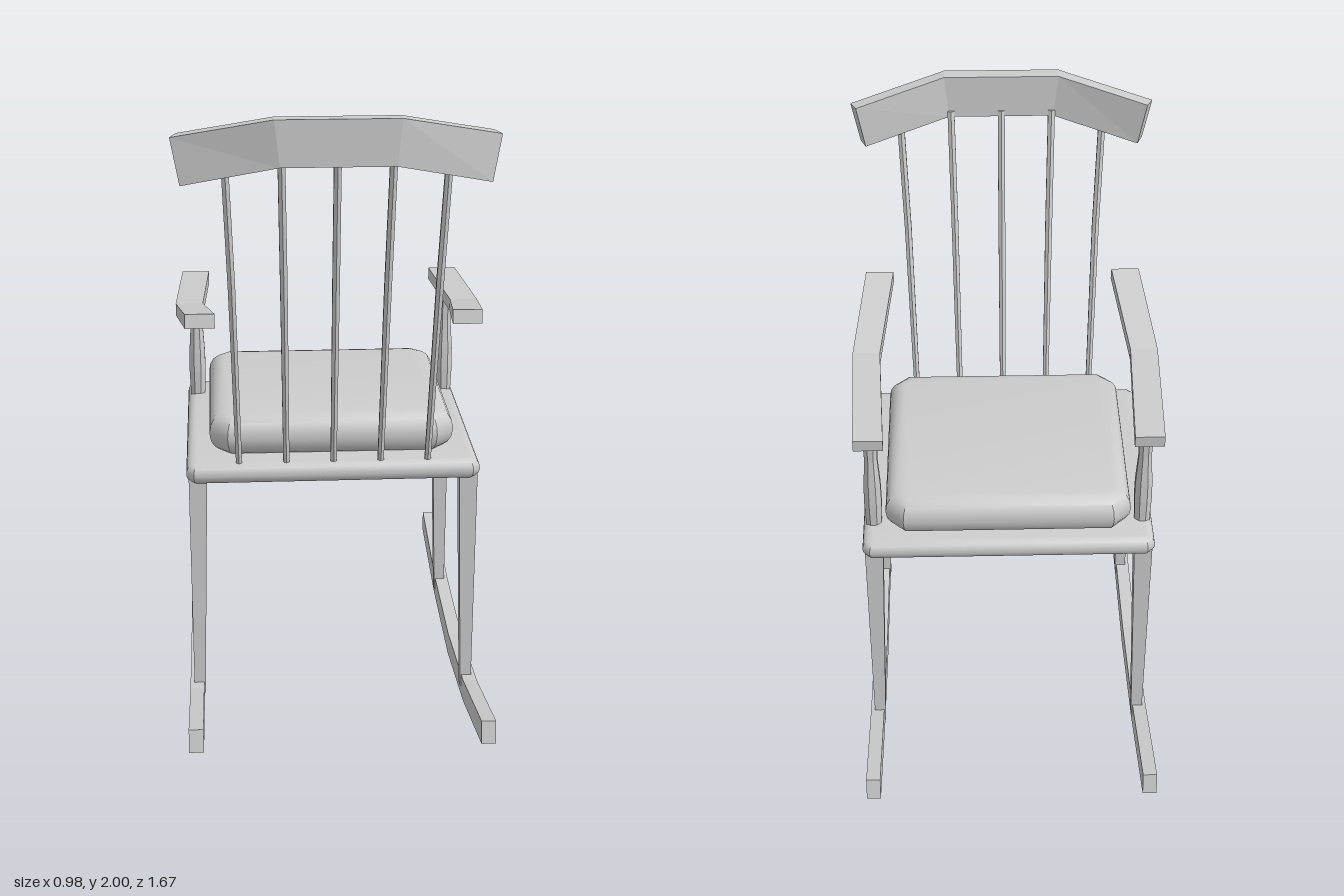
import * as THREE from 'three';
import { toCreasedNormals } from 'three/addons/utils/BufferGeometryUtils.js';

const wood = new THREE.MeshStandardMaterial({ color: 0xcccccc });
wood.name = 'plain grey';

// Flat-faced solid through a row of convex sections, each a ring of [x, y, z] points
function loft(sections) {
  const n = sections[0].length, tris = [];
  const rings = sections.map(s => s.map(p => new THREE.Vector3(...p)));
  for (let i = 0; i < rings.length - 1; i++) {
    for (let j = 0; j < n; j++) {
      const k = (j + 1) % n;
      const [a, b, c, d] = [rings[i][j], rings[i][k], rings[i + 1][k], rings[i + 1][j]];
      tris.push([a, b, c], [a, c, d]);
    }
  }
  const last = rings[rings.length - 1];
  for (let j = 1; j < n - 1; j++) {
    tris.push([rings[0][0], rings[0][j + 1], rings[0][j]], [last[0], last[j], last[j + 1]]);
  }
  // Turn the faces outward whichever way the rings run
  const volume = tris.reduce((v, [a, b, c]) => v + a.dot(b.clone().cross(c)), 0);
  const points = tris.flatMap(([a, b, c]) => (volume < 0 ? [a, c, b] : [a, b, c]));
  const g = new THREE.BufferGeometry().setFromPoints(points);
  g.computeVertexNormals();
  return g;
}

// Horizontal polygon section around a centre
function ring(x, y, z, r, sides) {
  return Array.from({ length: sides }, (_, i) => {
    const a = ((i + 0.5) / sides) * Math.PI * 2;
    return [x + r * Math.cos(a), y, z + r * Math.sin(a)];
  });
}

// Horizontal slab with a rounded rim and cut corners
function slab(x, z0, z1, y0, y1, corner, inset) {
  const r = (y1 - y0) / 2, w = x - inset, a = z0 + inset, b = z1 - inset, c = corner;
  const shape = new THREE.Shape([
    [-w + c, -b], [w - c, -b], [w, -b + c], [w, -a - c],
    [w - c, -a], [-w + c, -a], [-w, -a - c], [-w, -b + c],
  ].map(p => new THREE.Vector2(...p)));
  const g = new THREE.ExtrudeGeometry(shape, {
    depth: 0.002, bevelThickness: r - 0.001, bevelSize: inset, bevelSegments: 4,
  });
  g.rotateX(-Math.PI / 2);
  g.translate(0, y0 + r - 0.001, 0);
  return toCreasedNormals(g, 0.6);
}

export function createModel() {
  const group = new THREE.Group();
  const add = (name, geometry) => {
    const mesh = new THREE.Mesh(geometry, wood);
    mesh.name = name;
    group.add(mesh);
  };

  add('seat', slab(0.465, -0.465, 0.385, 0.805, 0.87, 0.006, 0.03));
  add('cushion', slab(0.39, -0.43, 0.315, 0.868, 1.0, 0.025, 0.055));

  for (const [side, s] of [['left', 1], ['right', -1]]) {
    // Rocker: [top z, top y, bottom z, bottom y]
    add(side + 'Rocker', loft([
      [0.82, 0.187, 0.835, 0.117], [0.4, 0.103, 0.415, 0.034], [0, 0.075, 0, 0],
      [-0.4, 0.103, -0.415, 0.034], [-0.82, 0.187, -0.835, 0.117],
    ].map(([tz, ty, bz, by]) => [
      [s * 0.424, ty, tz], [s * 0.469, ty, tz], [s * 0.469, by, bz], [s * 0.424, by, bz],
    ])));

    // Tapered square legs
    for (const [end, z0, z1] of [['front', -0.41, -0.41], ['back', 0.335, 0.337]]) {
      add(side + end + 'Leg', loft([
        ring(s * 0.438, 0.06, z0, 0.025, 4), ring(s * 0.429, 0.82, z1, 0.041, 4),
      ]));
    }

    // Swelling post under the armrest: [y, radius]
    add(side + 'ArmPost', loft([
      [0.86, 0.026], [0.95, 0.03], [1.02, 0.029], [1.12, 0.022], [1.25, 0.027],
    ].map(([y, r]) => ring(s * 0.43, y, -0.337, r, 8))));

    // Bent armrest: [inner x, outer x, top z, top y, bottom z, bottom y]
    add(side + 'Armrest', loft([
      [0.384, 0.476, -0.45, 1.273, -0.447, 1.234],
      [0.404, 0.492, 0, 1.29, 0, 1.25],
      [0.366, 0.458, 0.37, 1.365, 0.38, 1.322],
    ].map(([xi, xo, tz, ty, bz, by]) => [
      [s * xi, ty, tz], [s * xo, ty, tz], [s * xo, by, bz], [s * xi, by, bz],
    ])));
  }

  // Back spindles, fanned and slightly bowed
  for (let i = -2; i <= 2; i++) {
    const top = Math.abs(i) === 2 ? 1.84 : 1.88;
    const topZ = Math.abs(i) === 2 ? 0.505 : 0.53;
    add('spindle', loft([
      ring(i * 0.149, 0.85, 0.348, 0.011, 6),
      ring(i * 0.157, 1.48, 0.458, 0.013, 6),
      ring(i * 0.164, top, topZ, 0.013, 6),
    ]));
  }

  // Top rail: a flat middle with two wings swept forward and down
  const wing = s => [
    [s * 0.468, 1.938, 0.437], [s * 0.487, 1.934, 0.482],
    [s * 0.46, 1.793, 0.495], [s * 0.442, 1.796, 0.447],
  ];
  const middle = s => [
    [s * 0.185, 2, 0.525], [s * 0.185, 2, 0.575],
    [s * 0.17, 1.86, 0.575], [s * 0.17, 1.86, 0.525],
  ];
  add('topRail', loft([wing(-1), middle(-1), middle(1), wing(1)]));

  return group;
}
